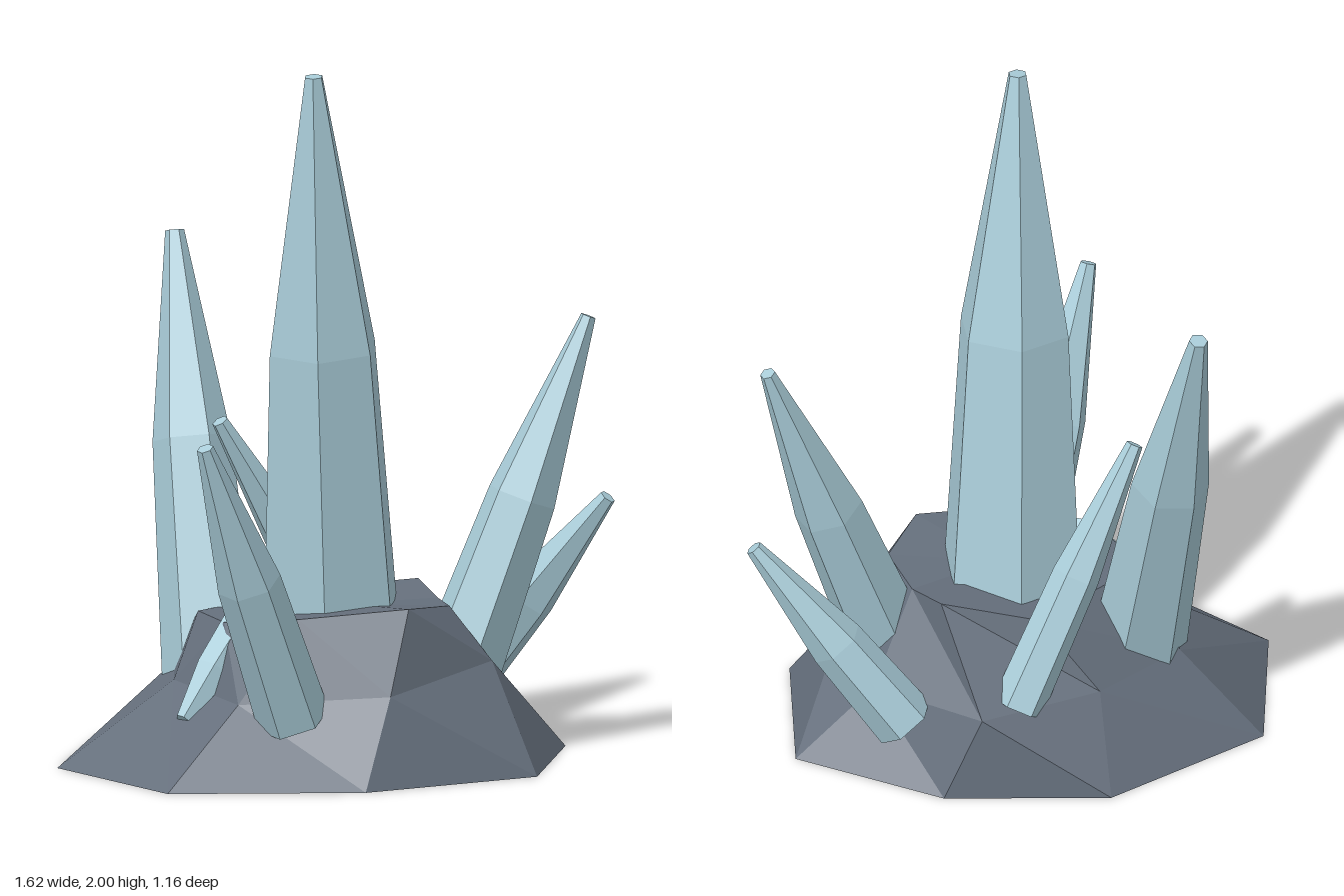
import * as THREE from 'three';

const crystalMat = new THREE.MeshStandardMaterial({ color: 0xa9ccd8, flatShading: true });
crystalMat.name = 'paleBlueCrystal';
const rockMat = new THREE.MeshStandardMaterial({ color: 0x656f7c, flatShading: true });
rockMat.name = 'slateRock';

// Closed, faceted solid through a stack of equal-sized rings
function loft(rings) {
  const pos = [];
  const tri = (...pts) => pts.forEach((p) => pos.push(p.x, p.y, p.z));
  const n = rings[0].length;
  const centre = (r) => r.reduce((s, p) => s.add(p), new THREE.Vector3()).divideScalar(n);
  const low = rings[0], high = rings[rings.length - 1];
  const lowC = centre(low), highC = centre(high);
  for (let i = 0; i < n; i++) {
    const j = (i + 1) % n;
    for (let k = 0; k + 1 < rings.length; k++) {
      const a = rings[k], b = rings[k + 1];
      tri(a[i], b[i], b[j]);
      tri(a[i], b[j], a[j]);
    }
    tri(lowC, low[i], low[j]);
    tri(highC, high[j], high[i]);
  }
  const geo = new THREE.BufferGeometry();
  geo.setAttribute('position', new THREE.Float32BufferAttribute(pos, 3));
  geo.computeVertexNormals();
  return geo;
}

// Six-sided crystal: gentle taper to the shoulder, sharp taper to a blunt tip
function crystal(name, base, tip, radii, shoulder, phase) {
  const from = new THREE.Vector3(...base), to = new THREE.Vector3(...tip);
  const axis = to.clone().sub(from).normalize();
  const u = new THREE.Vector3(1, 0, 0);
  u.addScaledVector(axis, -u.dot(axis)).normalize();
  const v = u.clone().cross(axis);
  const rings = [0, shoulder, 1].map((t, k) => Array.from({ length: 6 }, (_, i) => {
    const ang = phase + (i * Math.PI) / 3;
    return from.clone().lerp(to, t)
      .addScaledVector(u, radii[k] * Math.cos(ang))
      .addScaledVector(v, radii[k] * Math.sin(ang));
  }));
  const mesh = new THREE.Mesh(loft(rings), crystalMat);
  mesh.name = name;
  return mesh;
}

export function createModel() {
  const group = new THREE.Group();
  group.name = 'crystalCluster';

  // Rock mound: ground outline, slope break, plateau rim
  const outline = [
    [[0.67, 0, -0.01], [0.48, 0, 0.43], [-0.05, 0, 0.555], [-0.6, 0, 0.44],
      [-0.81, 0, -0.02], [-0.58, 0, -0.47], [-0.05, 0, -0.58], [0.38, 0, -0.38]],
    [[0.45, 0.21, -0.06], [0.4, 0.3, 0.22], [0.05, 0.25, 0.44], [-0.36, 0.22, 0.3],
      [-0.47, 0.24, -0.02], [-0.4, 0.24, -0.3], [-0.1, 0.24, -0.4], [0.27, 0.24, -0.4]],
    [[0.29, 0.45, 0.02], [0.28, 0.46, 0.2], [0.13, 0.48, 0.33], [-0.18, 0.455, 0.28],
      [-0.35, 0.42, 0.09], [-0.38, 0.42, -0.1], [0.03, 0.44, -0.27], [0.27, 0.48, -0.13]],
  ];
  const rock = new THREE.Mesh(
    loft(outline.map((ring) => ring.map((p) => new THREE.Vector3(...p)))), rockMat);
  rock.name = 'rockBase';
  group.add(rock);

  // Crystals: base centre, tip centre, radii, shoulder position, twist
  group.add(
    crystal('mainCrystal', [-0.015, 0.3, 0.005], [-0.105, 1.995, 0.155], [0.215, 0.165, 0.027], 0.53, -0.21),
    crystal('backCrystal', [-0.32, 0.22, -0.19], [-0.34, 1.435, -0.545], [0.14, 0.112, 0.027], 0.53, 0.3),
    crystal('leftTallCrystal', [0.345, 0.29, 0.1], [0.715, 1.255, 0.08], [0.12, 0.1, 0.022], 0.47, 0.5),
    crystal('leftShortCrystal', [0.42, 0.17, -0.21], [0.785, 0.72, 0.025], [0.09, 0.08, 0.024], 0.45, 0.2),
    crystal('frontCrystal', [-0.21, 0.18, 0.345], [-0.52, 1.015, 0.56], [0.105, 0.092, 0.024], 0.5, 0.1),
    crystal('backSmallCrystal', [0.14, 0.23, -0.36], [-0.28, 0.935, -0.25], [0.075, 0.068, 0.024], 0.5, 0.4),
    crystal('rightTinyCrystal', [-0.23, 0.47, 0.03], [-0.49, 0.16, 0.18], [0.07, 0.06, 0.025], 0.6, 0.3),
  );
  return group;
}
